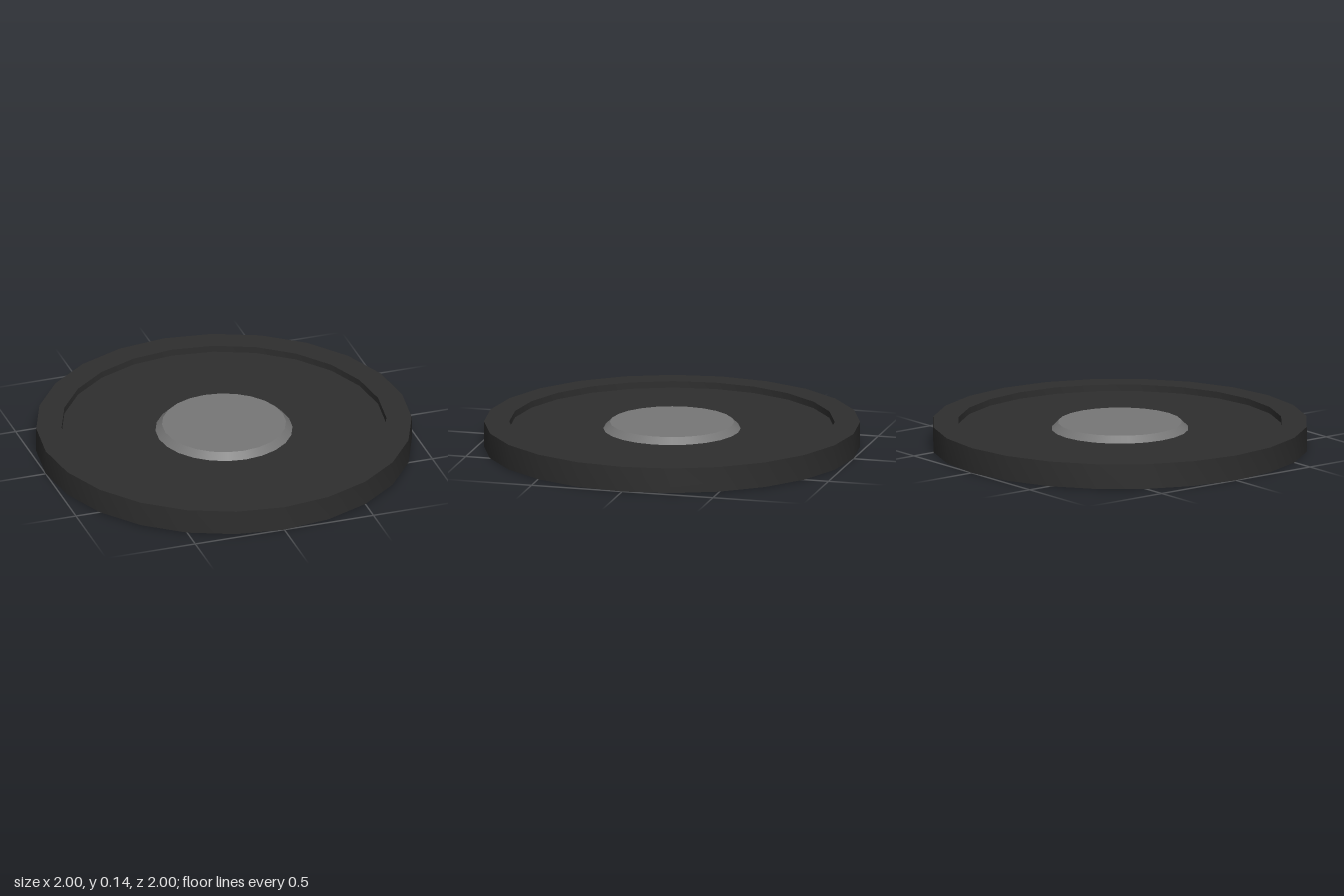
import * as THREE from 'three';
import { toCreasedNormals } from 'three/addons/utils/BufferGeometryUtils.js';

const SIDES = 24;

export function createModel() {
  const group = new THREE.Group();
  const black = new THREE.MeshStandardMaterial({ color: 0x2e2e2e });
  black.name = 'black';
  const grey = new THREE.MeshStandardMaterial({ color: 0x777777 });
  grey.name = 'grey';

  const add = (name, geometry, material, y = 0) => {
    const mesh = new THREE.Mesh(geometry, material);
    mesh.name = name;
    mesh.position.y = y;
    group.add(mesh);
  };

  // Raised outer ring with a rectangular section
  const section = [[0.865, 0], [1, 0], [1, 0.135], [0.865, 0.135], [0.865, 0]]
    .map(([r, y]) => new THREE.Vector2(r, y));
  add('rim', toCreasedNormals(new THREE.LatheGeometry(section, SIDES), 0.5), black);

  // Recessed plate, set deeper on the underside
  add('plate', new THREE.CylinderGeometry(0.865, 0.865, 0.04, SIDES), black, 0.08);

  // Bevelled centre cap, level with the top of the rim
  add('centreCap', new THREE.CylinderGeometry(0.33, 0.365, 0.035, SIDES), grey, 0.1175);

  return group;
}
